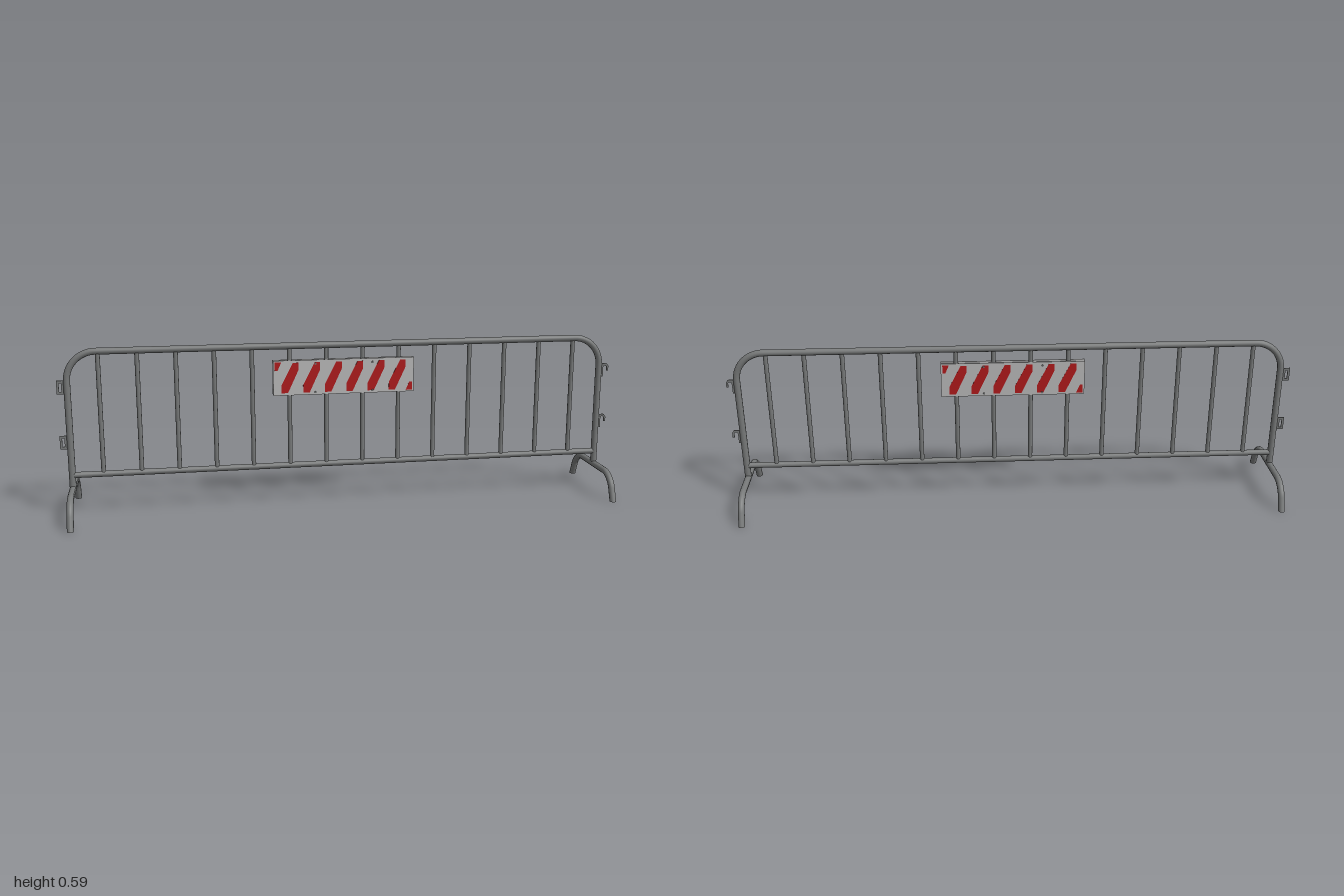
import * as THREE from 'three';

const steel = new THREE.MeshStandardMaterial({ color: 0x777979 });
steel.name = 'galvanised steel';
const white = new THREE.MeshStandardMaterial({ color: 0xb9b9b9 });
white.name = 'sign white';
const red = new THREE.MeshStandardMaterial({ color: 0xb0191b });
red.name = 'stripe red';

const V = (x, y, z = 0) => new THREE.Vector3(x, y, z);
const CX = -0.0025;      // centre of the frame
const POST = 0.9625;     // half distance between the posts

function add(parent, geometry, material, name, x = 0, y = 0, z = 0) {
  const mesh = new THREE.Mesh(geometry, material);
  mesh.name = name;
  mesh.position.set(x, y, z);
  parent.add(mesh);
  return mesh;
}

// Straight runs joined by rounded corners; each corner is [point, cut length]
function bentPath(start, corners, end) {
  const path = new THREE.CurvePath();
  let from = start;
  corners.forEach(([p, cut], i) => {
    const next = i + 1 < corners.length ? corners[i + 1][0] : end;
    const a = p.clone().add(from.clone().sub(p).setLength(cut));
    const b = p.clone().add(next.clone().sub(p).setLength(cut));
    path.add(new THREE.LineCurve3(from, a));
    const k = 0.55;
    path.add(new THREE.CubicBezierCurve3(a, a.clone().lerp(p, k), b.clone().lerp(p, k), b));
    from = b;
  });
  path.add(new THREE.LineCurve3(from, end));
  return path;
}

// Bent foot, its ends cut level with the ground
function footGeometry() {
  const r = 0.0117;
  const path = bentPath(V(0, 0, 0.192), [[V(0, 0.093, 0.155), 0.05], [V(0, 0.093, -0.155), 0.05]], V(0, 0, -0.192));
  const geo = new THREE.TubeGeometry(path, 80, r, 14);
  const pos = geo.attributes.position;
  const slope = 0.037 / 0.093;
  for (let i = 0; i < pos.count; i++) {
    const y = pos.getY(i), z = pos.getZ(i);
    if (y < 0.006) {
      pos.setZ(i, z + Math.sign(z) * y * slope);
      pos.setY(i, 0);
    }
  }
  return geo;
}

function plate(points, depth, hole) {
  const shape = new THREE.Shape(points.map(([x, y]) => new THREE.Vector2(x, y)));
  if (hole) shape.holes.push(new THREE.Path(hole.map(([x, y]) => new THREE.Vector2(x, y))));
  return new THREE.ExtrudeGeometry(shape, { depth, bevelEnabled: false });
}

// One striped board facing +z
function signFace() {
  const face = new THREE.Group();
  add(face, new THREE.BoxGeometry(0.508, 0.125, 0.003), white, 'signBoard', 0, 0, 0.0097);
  const z = 0.0111, d = 0.0007;
  for (let i = 0; i < 6; i++) {
    const stripe = [[-0.019, -0.054], [0.004, -0.054], [0.042, 0.028], [0.042, 0.054], [0.022, 0.054], [-0.019, -0.026]];
    add(face, plate(stripe, d), red, 'diagonalStripe', -0.206 + i * 0.0775, 0, z);
  }
  // Clipped stripes in two opposite corners
  const corner = [[-0.248, 0.057], [-0.248, 0.027], [-0.238, 0.027], [-0.225, 0.057]];
  add(face, plate(corner, d), red, 'cornerStripe', 0, 0, z);
  add(face, plate(corner, d), red, 'cornerStripe', 0, 0, z).rotation.z = Math.PI;
  // Bolts through the board
  for (const x of [-0.103, 0.103]) for (const y of [-0.053, 0.049]) {
    const bolt = add(face, new THREE.CylinderGeometry(0.004, 0.004, 0.006, 6), steel, 'bolt', x, y, 0.0122);
    bolt.rotation.x = Math.PI / 2;
  }
  return face;
}

export function createModel() {
  const model = new THREE.Group();
  model.name = 'crowdBarrier';

  // Outer frame: two posts and the top rail in one bent tube
  const frame = bentPath(
    V(-POST, 0.1), [[V(-POST, 0.576), 0.1], [V(POST, 0.576), 0.1]], V(POST, 0.1));
  add(model, new THREE.TubeGeometry(frame, 260, 0.0117, 14), steel, 'outerFrame', CX);

  // Bottom rail
  const rail = add(model, new THREE.CylinderGeometry(0.0105, 0.0105, 2 * POST, 14), steel, 'bottomRail', CX, 0.142);
  rail.rotation.z = Math.PI / 2;

  // Upright bars
  for (let i = 0; i < 14; i++) {
    add(model, new THREE.CylinderGeometry(0.008, 0.008, 0.434, 12), steel, 'uprightBar',
      CX - 0.8555 + i * 0.1316, 0.359);
  }

  // Feet
  const foot = footGeometry();
  for (const s of [-1, 1]) {
    const x = CX + s * POST;
    add(model, foot, steel, s < 0 ? 'rightFoot' : 'leftFoot', x);
    for (const z of [-0.192, 0.192]) {
      const cap = add(model, new THREE.CircleGeometry(0.0117, 14), steel, 'footEnd', x, 0.0002, z);
      cap.rotation.x = Math.PI / 2;
      cap.scale.y = 1.08;
    }
  }

  // Linking eyes on one end, hooks on the other
  const t = 0.004;
  const eye = plate([[0, -0.024], [0, 0.024], [-0.024, 0.024], [-0.024, -0.024]], t,
    [[-0.008, -0.015], [-0.016, -0.015], [-0.016, 0.015], [-0.008, 0.015]]);
  const hook = plate([[0, -0.026], [0.007, -0.026], [0.007, 0.01], [0.01, 0.016], [0.016, 0.016], [0.02, 0.011],
    [0.02, -0.004], [0.027, -0.004], [0.027, 0.014], [0.019, 0.024], [0, 0.024]], t);
  for (const y of [0.454, 0.26]) {
    add(model, eye, steel, 'linkEye', -0.976, y, -t / 2);
    add(model, hook, steel, 'linkHook', 0.971, y, -t / 2);
  }

  // Striped sign on both sides
  for (const [name, turn] of [['frontSign', 0], ['backSign', Math.PI]]) {
    const face = signFace();
    face.name = name;
    face.position.set(-0.005, 0.463, 0);
    face.rotation.y = turn;
    model.add(face);
  }
  return model;
}
